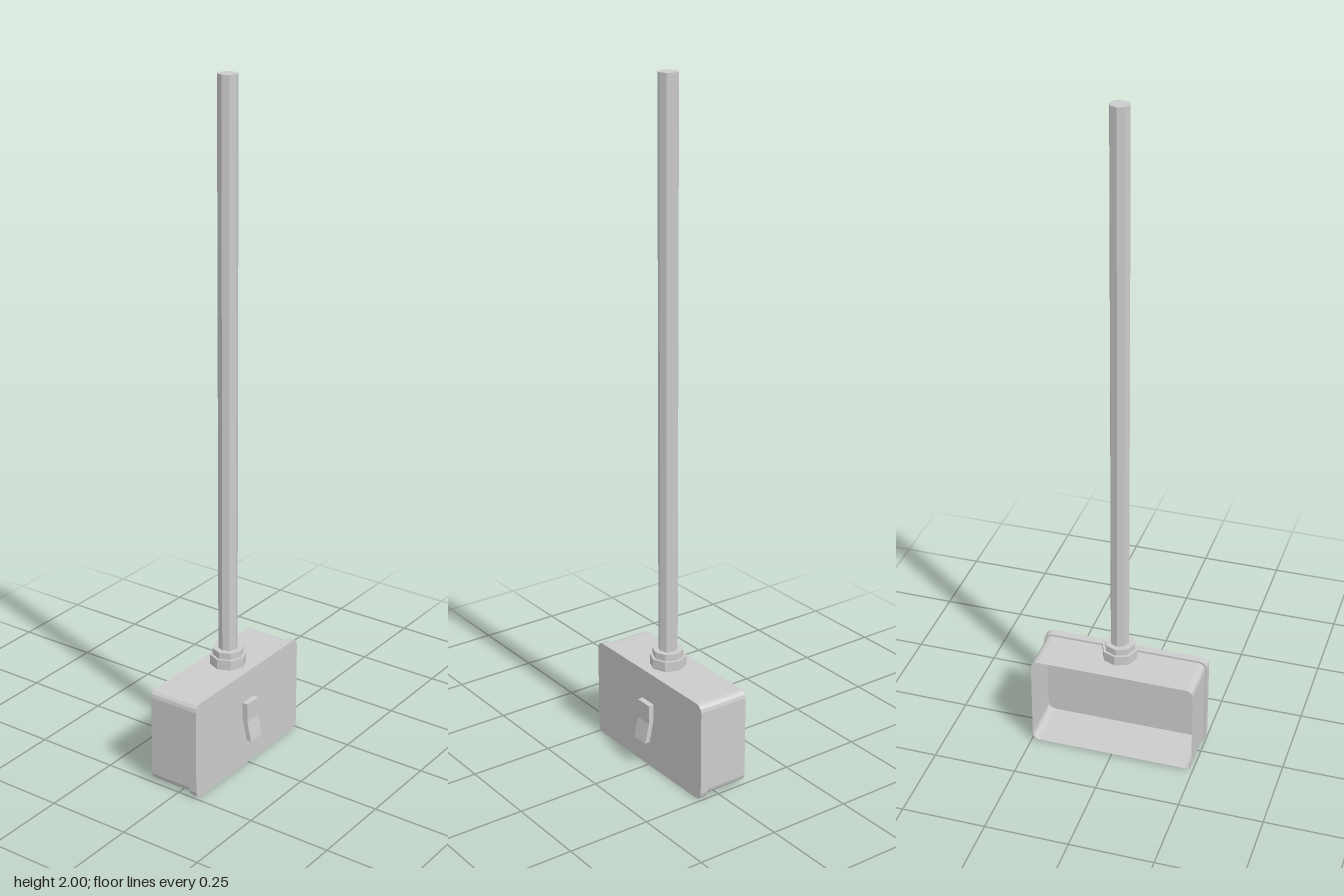
import * as THREE from 'three';

const flat = () => new THREE.MeshStandardMaterial({ color: 0xcccccc, flatShading: true });

// Outline of a rounded rectangle, counter-clockwise seen from the front
function outline(halfW, halfH, r, z, steps = 3) {
  const pts = [];
  const corners = [[1, 1], [-1, 1], [-1, -1], [1, -1]];
  corners.forEach(([sx, sy], c) => {
    for (let i = 0; i <= steps; i++) {
      const a = (c + i / steps) * Math.PI / 2;
      pts.push([sx * (halfW - r) + r * Math.cos(a), sy * (halfH - r) + r * Math.sin(a), z]);
    }
  });
  return pts;
}

// Skin through the sections from front to back; the first one is capped
function shell(sections) {
  const pos = [];
  const first = sections[0];
  for (let i = 1; i < first.length - 1; i++) pos.push(...first[0], ...first[i], ...first[i + 1]);
  for (let s = 0; s < sections.length - 1; s++) {
    const a = sections[s], b = sections[s + 1];
    for (let i = 0; i < a.length; i++) {
      const j = (i + 1) % a.length;
      pos.push(...a[i], ...b[i], ...b[j], ...a[i], ...b[j], ...a[j]);
    }
  }
  const g = new THREE.BufferGeometry();
  g.setAttribute('position', new THREE.Float32BufferAttribute(pos, 3));
  g.computeVertexNormals();
  return g;
}

export function createModel() {
  const group = new THREE.Group();
  const add = (name, geometry, x, y, z) => {
    const mesh = new THREE.Mesh(geometry, flat());
    mesh.name = name;
    mesh.position.set(x, y, z);
    group.add(mesh);
    return mesh;
  };

  // Hollow box, open at the back, with a slightly wider front plate
  const box = add('switchBox', shell([
    outline(0.252, 0.149, 0.022, 0.064),
    outline(0.252, 0.149, 0.022, 0.04),
    outline(0.246, 0.143, 0.02, 0.04),
    outline(0.246, 0.143, 0.02, -0.097),
  ]), 0, 0.149, 0);
  box.material.side = THREE.DoubleSide;

  // Bent rocker, its lower end tipped out of the plate
  const profile = new THREE.Shape([
    [0.058, 0.207], [0.064, 0.16], [0.078, 0.09], [0.094, 0.09], [0.081, 0.15], [0.081, 0.207],
  ].map(([z, y]) => new THREE.Vector2(z, y)));
  const rocker = new THREE.ExtrudeGeometry(profile, { depth: 0.054, bevelEnabled: false });
  rocker.translate(0, 0, -0.027).rotateY(-Math.PI / 2);
  add('rockerSwitch', rocker, 0, 0, 0);

  // Eight-sided conduit and its stepped collar: name, radius, bottom, top
  [
    ['lowerCollar', 0.053, 0.305, 0.335],
    ['upperCollar', 0.045, 0.335, 0.355],
    ['conduit', 0.028, 0.355, 2],
  ].forEach(([name, r, y0, y1]) =>
    add(name, new THREE.CylinderGeometry(r, r, y1 - y0, 8), 0, (y0 + y1) / 2, -0.007));

  return group;
}
